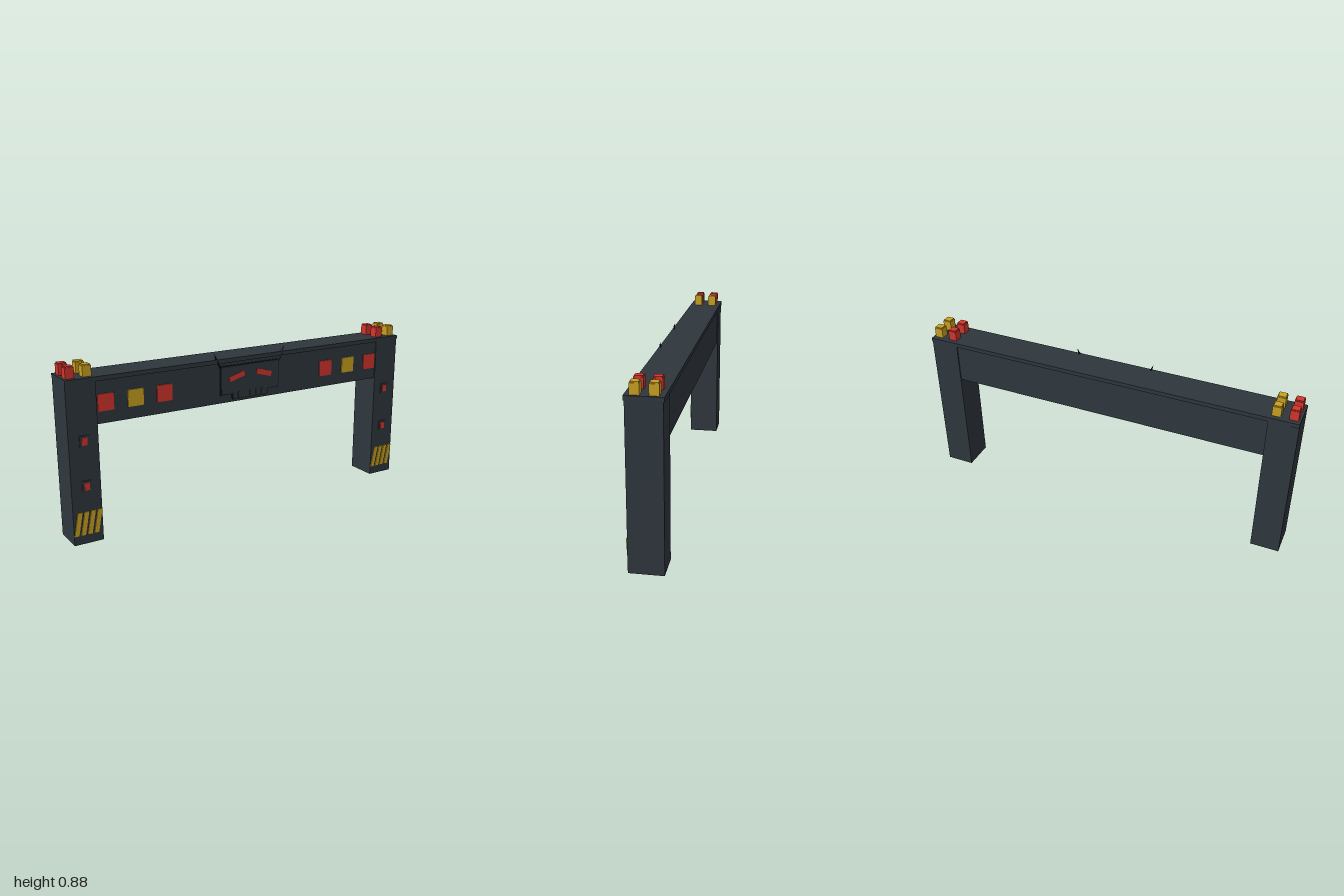
import * as THREE from 'three';

const material = (name, color) => {
  const m = new THREE.MeshStandardMaterial({ color });
  m.name = name;
  return m;
};

export function createModel() {
  const group = new THREE.Group();
  const steel = material('dark steel', 0x2e363d);
  const trim = material('black trim', 0x15191c);
  const red = material('signal red', 0xd2352c);
  const yellow = material('signal yellow', 0xc9a021);

  const add = (name, geometry, mat, x = 0, y = 0, z = 0) => {
    const mesh = new THREE.Mesh(geometry, mat);
    mesh.name = name;
    mesh.position.set(x, y, z);
    group.add(mesh);
    return mesh;
  };
  const box = (name, w, h, d, mat, x, y, z) =>
    add(name, new THREE.BoxGeometry(w, h, d), mat, x, y, z);
  // Flat outline extruded forwards from z
  const plate = (name, points, depth, mat, x, y, z) => {
    const shape = new THREE.Shape(points.map(([px, py]) => new THREE.Vector2(px, py)));
    return add(name, new THREE.ExtrudeGeometry(shape, { depth, bevelEnabled: false }), mat, x, y, z);
  };

  // Gantry frame
  box('crossBeam', 1.7, 0.212, 0.154, steel, 0, 0.696, 0);
  box('topCap', 2, 0.022, 0.176, steel, 0, 0.812, 0);

  for (const s of [-1, 1]) {
    box('leg', 0.15, 0.802, 0.166, steel, s * 0.925, 0.401, 0);

    // Small marker lights on the leg
    for (const y of [0.295, 0.52]) {
      box('markerHousing', 0.048, 0.058, 0.005, steel, s * 0.922, y, 0.0855);
      box('markerLight', 0.027, 0.038, 0.003, red, s * 0.922, y, 0.0892);
    }

    // Slanted warning stripes
    for (let i = 0; i < 4; i++) {
      plate('warningStripe', [[0, 0], [0.023, 0], [0.046, 0.118], [0.023, 0.118]],
        0.005, yellow, s * 0.925 - 0.074 + i * 0.034, 0.048, 0.083);
    }

    // Square panels on the beam
    [0.493, 0.648, 0.803].forEach((x, i) =>
      box('signalPanel', 0.082, 0.084, 0.005, i === 1 ? yellow : red, s * x, 0.693, 0.0793));

    // Face plate eyes, higher towards the middle
    const eye = box('eye', 0.093, 0.027, 0.004, red, s * 0.083, 0.724, 0.0878);
    eye.rotation.z = -s * 0.28;

    // Bent antenna spike beside the face plate
    const curve = new THREE.CatmullRomCurve3([
      new THREE.Vector3(s * 0.176, 0.775, 0.082),
      new THREE.Vector3(s * 0.196, 0.812, 0.086),
      new THREE.Vector3(s * 0.201, 0.828, 0.081),
    ]);
    add('antennaStem', new THREE.TubeGeometry(curve, 6, 0.004, 6), trim);
    const tip = add('antennaTip', new THREE.ConeGeometry(0.006, 0.036, 6), trim, s * 0.206, 0.838, 0.08);
    tip.rotation.z = -s * 0.38;

    // Beacon lamps on the cap: a red and a yellow column at each end
    for (const z of [-0.042, 0.042]) {
      for (const x of [0.882, 0.966]) {
        const isRed = s < 0 ? x > 0.9 : x < 0.9;
        const mat = isRed ? red : yellow;
        box('beaconLamp', 0.044, 0.052, 0.044, mat, s * x, 0.849, z);
        box('beaconTop', 0.038, 0.006, 0.038, mat, s * x, 0.878, z);
      }
    }
  }

  // Stepped face plate with a thin dark border
  const outline = (e) => [
    [-0.173 - e, 0.779 + e], [-0.173 - e, 0.637 - e], [-0.106 - e, 0.637 - e],
    [-0.106 - e, 0.62 - e], [-0.098 - e, 0.607 - e], [0.098 + e, 0.607 - e],
    [0.106 + e, 0.62 - e], [0.106 + e, 0.637 - e], [0.173 + e, 0.637 - e], [0.173 + e, 0.779 + e],
  ];
  plate('facePlateBorder', outline(0.005), 0.007, trim, 0, 0, 0.076);
  plate('facePlate', outline(0), 0.0095, steel, 0, 0, 0.0765);

  // Vertical grille bars on the chin
  for (let i = -2; i <= 2; i++) {
    box('grilleBar', 0.009, 0.032, 0.005, steel, i * 0.036, 0.626, 0.088);
  }

  return group;
}
